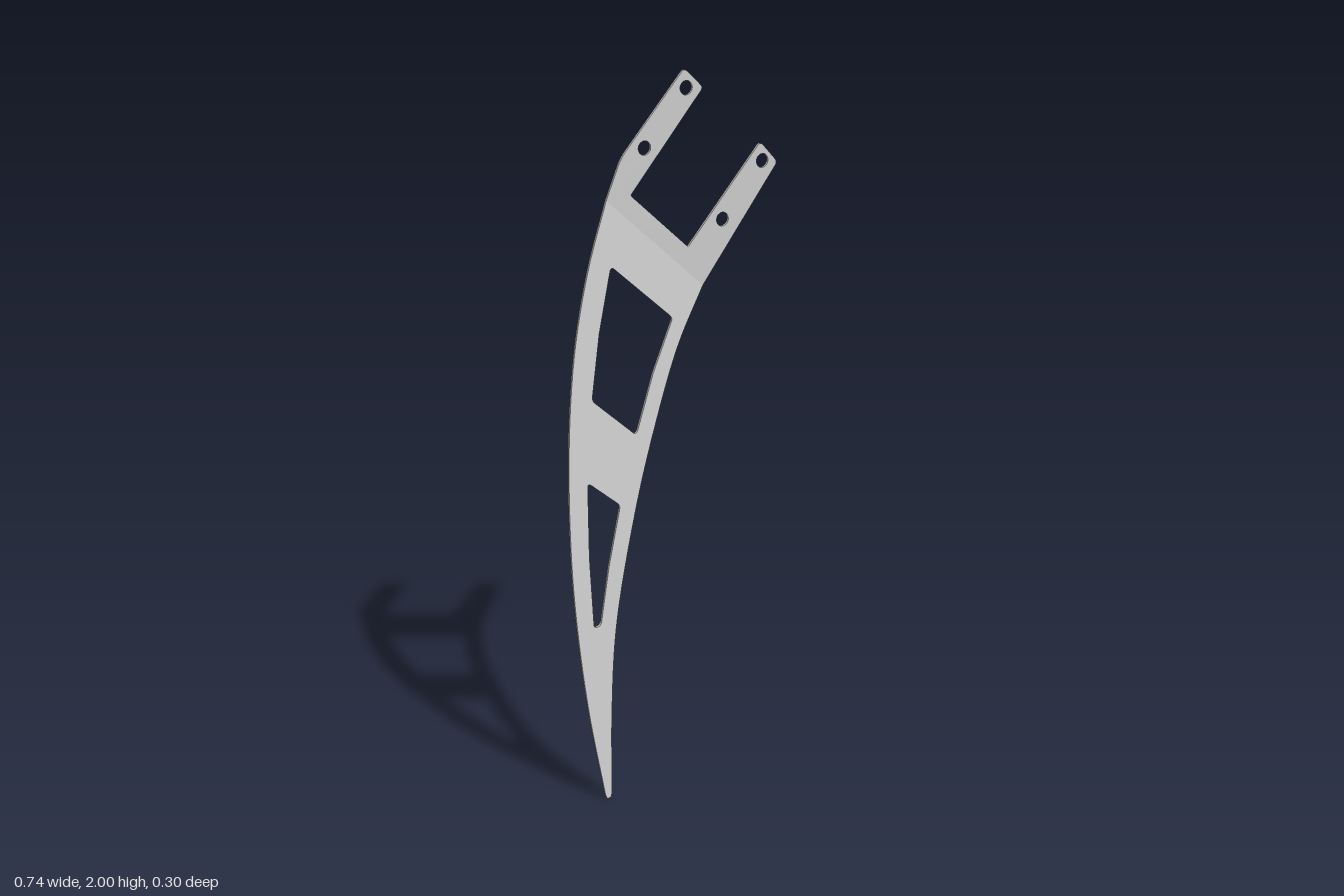
import * as THREE from 'three';

const THICKNESS = 0.009;
const BEND = [[-0.19, 1.665], [0.122, 1.39]]; // fold line between blade and fork

// Two planes meeting at the fold
const sheetZ = (x, y) => Math.max(
  0.14 - 0.2273 * (x + 0.29) - 0.1151 * y,
  -0.075 - 0.124 * (x + 0.19)
);

// Closed loop of [x, y, cornerRadius] points
function loop(points, path) {
  const n = points.length;
  const v = points.map(([x, y]) => new THREE.Vector2(x, y));
  const toward = (a, b, d) => a.clone().add(b.clone().sub(a).setLength(d));
  points.forEach(([x, y, r = 0], i) => {
    const from = r ? toward(v[i], v[(i + n - 1) % n], r) : v[i];
    if (i === 0) path.moveTo(from.x, from.y);
    else path.lineTo(from.x, from.y);
    if (r) {
      const to = toward(v[i], v[(i + 1) % n], r);
      path.quadraticCurveTo(x, y, to.x, to.y);
    }
  });
  path.closePath();
  return path;
}

// Smooth edge through a few points
const spline = (pts, count) => new THREE.CatmullRomCurve3(
  pts.map(([x, y]) => new THREE.Vector3(x, y, 0))
).getPoints(count).map((p) => [p.x, p.y]);

const onBend = (x, y) => {
  const [[ax, ay], [bx, by]] = BEND;
  return Math.abs((bx - ax) * (y - ay) - (by - ay) * (x - ax)) < 1e-5;
};

// Extrude a flat outline, lay it on the folded sheet and open the seam
function plate(name, shape, material) {
  const flat = new THREE.ExtrudeGeometry(shape, {
    depth: THICKNESS, bevelEnabled: false, curveSegments: 8,
  });
  const p = flat.getAttribute('position');
  const out = [];
  for (let i = 0; i < p.count; i += 3) {
    const tri = [i, i + 1, i + 2];
    if (tri.every((k) => onBend(p.getX(k), p.getY(k)))) continue;
    for (const k of tri) {
      const x = p.getX(k), y = p.getY(k);
      out.push(x, y, p.getZ(k) - THICKNESS / 2 + sheetZ(x, y));
    }
  }
  const geometry = new THREE.BufferGeometry();
  geometry.setAttribute('position', new THREE.Float32BufferAttribute(out, 3));
  geometry.computeVertexNormals();
  const mesh = new THREE.Mesh(geometry, material);
  mesh.name = name;
  return mesh;
}

export function createModel() {
  const group = new THREE.Group();
  group.name = 'bentBracket';
  const material = new THREE.MeshStandardMaterial({ color: 0xcccccc });

  // Curved tapering blade below the fold
  const rightEdge = spline([
    [-0.284, 0.012], [-0.268, 0.25], [-0.236, 0.49], [-0.15, 0.80],
    [-0.07, 1.02], [0.025, 1.235], BEND[1],
  ], 36);
  const leftEdge = spline([
    BEND[0], [-0.262, 1.485], [-0.319, 1.28], [-0.355, 1.04],
    [-0.371, 0.75], [-0.367, 0.53], [-0.345, 0.27], [-0.306, 0.012],
  ], 40);
  const blade = loop(
    [...rightEdge, ...leftEdge, [-0.301, 0], [-0.289, 0]],
    new THREE.Shape()
  );

  // Upper and lower windows
  blade.holes.push(
    loop([
      [-0.187, 1.487, 0.015], [0.012, 1.315, 0.012], [-0.065, 1.172],
      [-0.133, 1.01, 0.015], [-0.274, 1.132, 0.012], [-0.238, 1.31],
    ], new THREE.Path()),
    loop([
      [-0.304, 0.91, 0.015], [-0.2, 0.825, 0.012], [-0.25, 0.66],
      [-0.288, 0.5, 0.014], [-0.311, 0.5, 0.01], [-0.313, 0.7],
    ], new THREE.Path())
  );
  group.add(plate('blade', blade, material));

  // Two-armed fork above the fold
  const fork = loop([
    BEND[0], BEND[1], [0.372, 1.717, 0.012], [0.313, 1.779, 0.014],
    [0.073, 1.506, 0.006], [-0.113, 1.671, 0.006], [0.121, 1.947, 0.012],
    [0.06, 2.004, 0.014], [-0.143, 1.775, 0.025],
  ], new THREE.Shape());

  // Fixing holes along both arms
  for (const [x, y] of [[0.066, 1.95], [-0.068, 1.797], [0.32, 1.725], [0.187, 1.572]]) {
    fork.holes.push(new THREE.Path().absarc(x, y, 0.02, 0, Math.PI * 2, true));
  }
  group.add(plate('fork', fork, material));

  return group;
}
